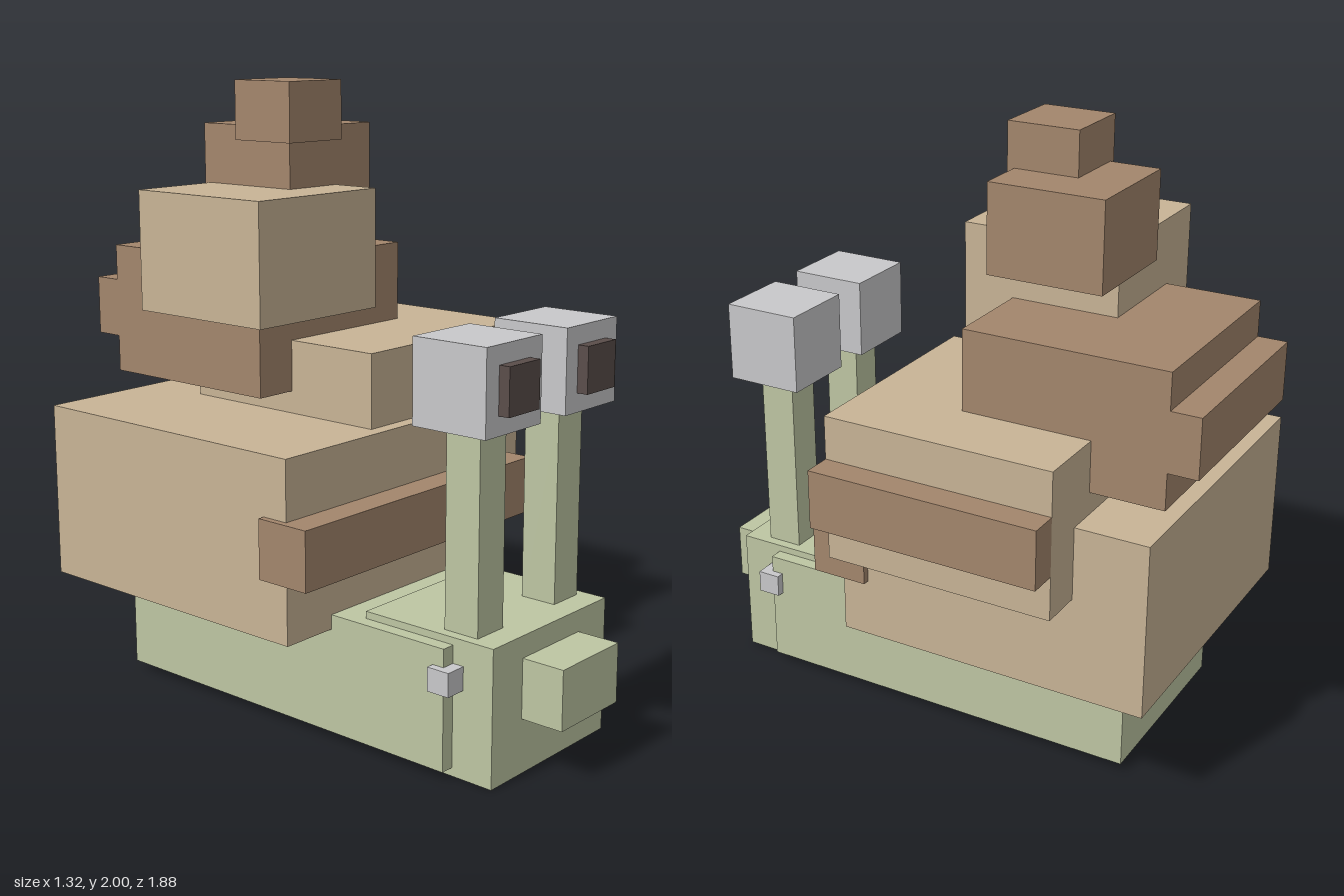
import * as THREE from 'three';

const flat = (name, color) => {
  const m = new THREE.MeshStandardMaterial({ color });
  m.name = name;
  return m;
};

export function createModel() {
  const green = flat('paleGreen', 0xbec6a3);
  const tan = flat('tan', 0xc8b496);
  const brown = flat('brown', 0xa3866c);
  const grey = flat('lightGrey', 0xc8c8ca);
  const dark = flat('darkBrown', 0x5a4d4a);

  const model = new THREE.Group();
  model.name = 'snail';

  // Box given by its [min, max] range on each axis
  const block = (name, material, x, y, z) => {
    const mesh = new THREE.Mesh(
      new THREE.BoxGeometry(x[1] - x[0], y[1] - y[0], z[1] - z[0]), material);
    mesh.position.set((x[0] + x[1]) / 2, (y[0] + y[1]) / 2, (z[0] + z[1]) / 2);
    mesh.name = name;
    model.add(mesh);
  };

  // Soft body
  block('body', green, [-0.445, 0.222], [0.027, 0.412], [-0.695, 0.652]);
  block('head', green, [-0.4, 0.177], [0, 0.435], [0.315, 0.797]);
  block('snout', green, [-0.255, 0.033], [0.175, 0.365], [0.78, 0.94]);

  // Eye stalks, eyes, pupils and cheek studs, mirrored about the body's own middle
  const middle = -0.111;
  for (const [side, s] of [['left', 1], ['right', -1]]) {
    const span = (centre, width) => {
      const c = middle + s * centre;
      return [c - width / 2, c + width / 2];
    };
    block(side + 'EyeStalk', green, span(0.193, 0.122), [0.4, 1.06], [0.592, 0.714]);
    block(side + 'Eye', grey, span(0.193, 0.262), [1.053, 1.315], [0.522, 0.784]);
    block(side + 'Pupil', dark, span(0.193, 0.145), [1.112, 1.257], [0.77, 0.82]);
    block(side + 'CheekStud', grey, span(0.322, 0.075), [0.28, 0.355], [0.612, 0.69]);
  }

  // Shell: blocks stacked in a rising spiral
  block('shellBase', tan, [-0.64, 0.418], [0.365, 0.942], [-0.843, 0.215]);
  block('shellFrontRidge', brown, [-0.662, 0.441], [0.56, 0.75], [0.123, 0.312]);
  block('shellSecondTier', tan, [-0.205, 0.563], [0.703, 1.182], [-0.602, 0.168]);
  block('shellSideRidge', brown, [0.563, 0.657], [0.848, 1.04], [-0.602, 0.168]);
  block('shellThirdTier', brown, [-0.35, 0.323], [1.015, 1.446], [-0.843, -0.17]);
  block('shellBackRidge', brown, [-0.35, 0.323], [1.135, 1.328], [-0.94, -0.84]);
  block('shellFourthTier', tan, [-0.518, 0.01], [1.28, 1.664], [-0.528, 0]);
  block('shellFifthTier', brown, [-0.205, 0.177], [1.57, 1.857], [-0.553, -0.17]);
  block('shellTip', brown, [-0.229, 0.011], [1.81, 2], [-0.385, -0.146]);

  return model;
}
